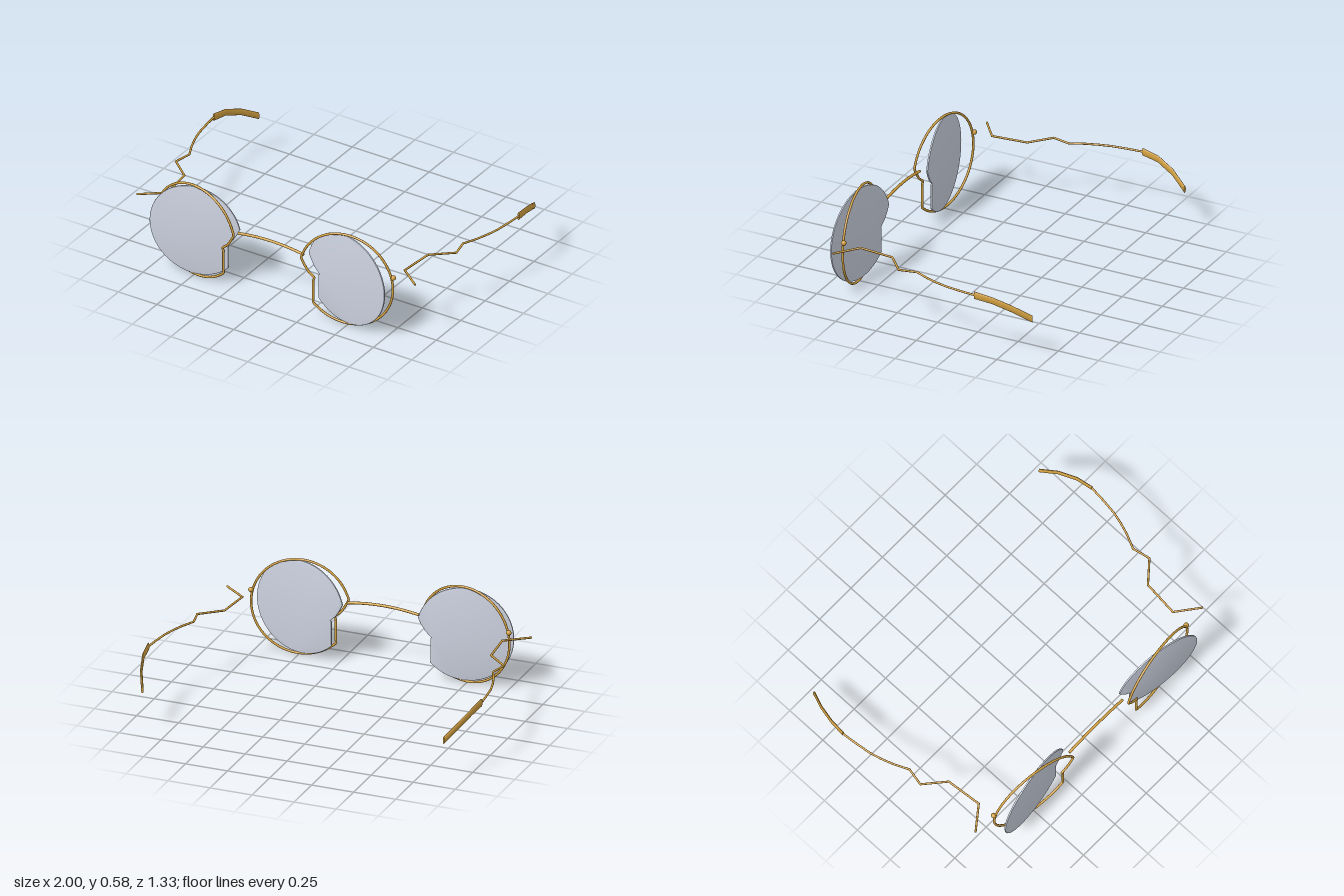
import * as THREE from 'three';
import { toCreasedNormals } from 'three/addons/utils/BufferGeometryUtils.js';

const gold = new THREE.MeshStandardMaterial({ color: 0xd2a040 });
const glass = new THREE.MeshStandardMaterial({ color: 0xccd2e0 });

// Wire or blade with mitred bends; its elliptical sections stand upright.
// path: [x, y, z, halfWidth, halfHeight]
function loft(path, sides = 10) {
  const pos = [], index = [];
  const pts = path.map(p => new THREE.Vector3(p[0], p[1], p[2]));
  const flatDir = (a, b) => b.clone().sub(a).setY(0).normalize();
  const rings = pts.map((p, i) => {
    const before = flatDir(pts[Math.max(i - 1, 0)], pts[Math.max(i, 1)]);
    const last = pts.length - 1;
    const after = flatDir(pts[Math.min(i, last - 1)], pts[Math.min(i + 1, last)]);
    const t = before.clone().add(after).normalize();
    const mitre = 1 / Math.max(t.dot(after), 0.5);
    const ring = [];
    for (let j = 0; j < sides; j++) {
      const a = (j / sides) * Math.PI * 2;
      const w = Math.cos(a) * path[i][3] * mitre;
      ring.push([p.x + t.z * w, p.y + Math.sin(a) * path[i][4], p.z - t.x * w]);
    }
    return ring;
  });
  rings.forEach(ring => ring.forEach(v => pos.push(...v)));
  for (let i = 0; i < rings.length - 1; i++) {
    for (let j = 0; j < sides; j++) {
      const a = i * sides + j, b = i * sides + (j + 1) % sides;
      index.push(a, b, a + sides, b, b + sides, a + sides);
    }
  }
  // End caps with their own vertices
  [0, rings.length - 1].forEach((r, end) => {
    const start = pos.length / 3;
    rings[r].forEach(v => pos.push(...v));
    for (let j = 1; j < sides - 1; j++) {
      index.push(start, start + (end ? j : j + 1), start + (end ? j + 1 : j));
    }
  });
  const geo = new THREE.BufferGeometry();
  geo.setAttribute('position', new THREE.Float32BufferAttribute(pos, 3));
  geo.setIndex(index);
  geo.computeVertexNormals();
  return geo;
}

// Round outline with a notch on the nose side, about its own centre
function outline(s, r) {
  const pts = [];
  const from = Math.PI - 0.25, to = -Math.PI + 0.775;
  for (let i = 0; i <= 48; i++) {
    const a = from + (to - from) * (i / 48);
    pts.push([Math.cos(a) * r, Math.sin(a) * r]);
  }
  const k = r / 0.281;
  [[-0.2, -0.18], [-0.2, -0.12], [-0.2, -0.065], [-0.2, -0.052], [-0.192, -0.043],
    [-0.23, -0.006], [-0.256, 0.035]].forEach(([x, y]) => pts.push([x * k, y * k]));
  return pts.map(([x, y]) => new THREE.Vector2(x * s, y));
}

export function createModel() {
  const model = new THREE.Group();
  const add = (name, geo, mat, parent = model) => {
    const mesh = new THREE.Mesh(geo, mat);
    mesh.name = name;
    parent.add(mesh);
    return mesh;
  };
  const tilt = 0.138;

  for (const s of [1, -1]) {
    const side = new THREE.Group();
    side.name = s > 0 ? 'leftSide' : 'rightSide';
    model.add(side);

    // Wire rim
    const curve = new THREE.CatmullRomCurve3(
      outline(s, 0.281).map(p => new THREE.Vector3(p.x, p.y, 0)), true, 'centripetal');
    const rim = add('rim', new THREE.TubeGeometry(curve, 180, 0.007, 8, true), gold, side);
    rim.position.set(s * 0.49, 0.288, 0.618);
    rim.rotation.y = s * tilt;

    // Thin lens, tilted the opposite way to the rim
    const lensGeo = new THREE.ExtrudeGeometry(new THREE.Shape(outline(s, 0.273)), {
      depth: 0.004, bevelEnabled: true, bevelThickness: 0.003, bevelSize: 0.004, bevelSegments: 2,
    });
    lensGeo.translate(0, 0, -0.002);
    const lens = add('lens', toCreasedNormals(lensGeo, 0.6), glass, side);
    lens.position.set(s * 0.49, 0.288, 0.618);
    lens.rotation.y = -s * tilt;

    // Hinge ball
    add('hinge', new THREE.SphereGeometry(0.015, 16, 12), gold, side)
      .position.set(s * 0.767, 0.36, 0.573);

    // Zigzag temple wire
    const wire = [[0.906, 0.568], [0.773, 0.466], [0.793, 0.258], [0.912, 0.156], [0.89, 0.053],
      [0.928, -0.03], [0.952, -0.1], [0.97, -0.17], [0.983, -0.27], [0.991, -0.36]];
    add('temple', loft(wire.map(([x, z]) => [s * x, 0.358, z, 0.006, 0.006])), gold, side);

    // Tall, thin ear tip
    const tip = [[0.991, 0.358, -0.355, 0.023], [0.978, 0.343, -0.456, 0.021],
      [0.945, 0.301, -0.565, 0.021], [0.896, 0.241, -0.666, 0.021]];
    add('earTip', loft(tip.map(([x, y, z, h]) => [s * x, y, z, 0.007, h]), 16), gold, side);
  }

  // Arched bridge
  const arch = [];
  for (let i = 0; i <= 16; i++) {
    const u = i / 8 - 1;
    arch.push([u * 0.213, 0.374 - 0.019 * u * u, 0.619, 0.008, 0.008]);
  }
  add('bridge', loft(arch), gold);
  return model;
}
